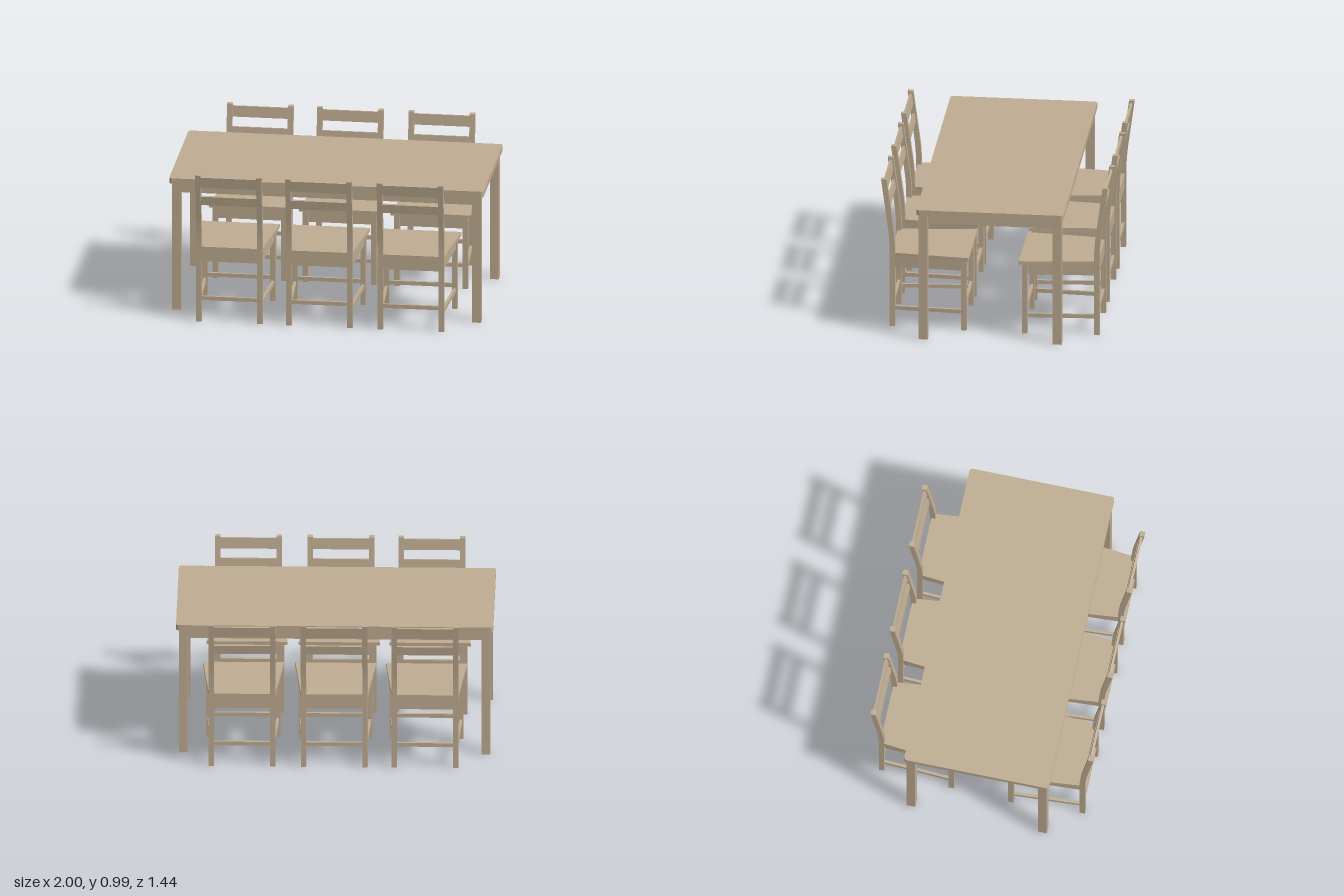
import * as THREE from 'three';

const wood = new THREE.MeshStandardMaterial({ color: 0xbfac92 });
wood.name = 'paleWood';

function add(parent, name, geometry) {
  const mesh = new THREE.Mesh(geometry, wood);
  mesh.name = name;
  parent.add(mesh);
  return mesh;
}

function box(parent, name, size, pos) {
  const mesh = add(parent, name, new THREE.BoxGeometry(...size));
  mesh.position.set(...pos);
  return mesh;
}

// Level rail between two points on the floor plan, centred at height y
function rail(parent, name, [x1, z1], [x2, z2], y, height, thick) {
  const length = Math.hypot(x2 - x1, z2 - z1);
  const mesh = box(parent, name, [thick, height, length], [(x1 + x2) / 2, y, (z1 + z2) / 2]);
  mesh.rotation.y = Math.atan2(x2 - x1, z2 - z1);
}

// Flat slab from a plan outline (x, z), from y0 to y1
function slab(shape, y0, y1) {
  const g = new THREE.ExtrudeGeometry(shape, { depth: y1 - y0, bevelEnabled: false, curveSegments: 5 });
  g.rotateX(Math.PI / 2);
  g.translate(0, y1, 0);
  return g;
}

// Backward lean of the chair back: curved at first, then straight
const lean = (y) => {
  const t = Math.max(0, y - 0.5);
  return t < 0.18 ? 0.375 * t * t : 0.01215 + 0.135 * (t - 0.18);
};

function createTable() {
  const table = new THREE.Group();
  table.name = 'table';
  const w = 1, d = 0.466, r = 0.02;
  const top = new THREE.Shape();
  top.absarc(w - r, d - r, r, 0, Math.PI / 2);
  top.absarc(-w + r, d - r, r, Math.PI / 2, Math.PI);
  top.absarc(-w + r, -d + r, r, Math.PI, Math.PI * 1.5);
  top.absarc(w - r, -d + r, r, Math.PI * 1.5, Math.PI * 2);
  add(table, 'tableTop', slab(top, 0.843, 0.879));
  for (const s of [-1, 1]) {
    for (const t of [-1, 1]) box(table, 'tableLeg', [0.055, 0.843, 0.057], [s * 0.954, 0.4215, t * 0.424]);
    box(table, 'tableLongApron', [1.853, 0.062, 0.02], [0, 0.812, s * 0.432]);
    box(table, 'tableEndApron', [0.02, 0.062, 0.791], [s * 0.962, 0.812, 0]);
  }
  table.position.z = 0.009;
  return table;
}

// Chair with its back towards +z
function createChair() {
  const chair = new THREE.Group();
  chair.name = 'chair';
  const backX = 0.194, frontX = 0.217, backZ = 0.649, frontZ = 0.194, leg = 0.034;

  // Rear legs run up into the curved back posts
  const profile = new THREE.Shape();
  const heights = [0, 0.5, 0.545, 0.59, 0.635, 0.68, 0.99];
  const z0 = backZ - leg / 2, z1 = backZ + leg / 2;
  heights.forEach((y, i) => profile[i ? 'lineTo' : 'moveTo'](z0 + lean(y), y));
  heights.reverse().forEach((y) => profile.lineTo(z1 + lean(y), y));
  profile.closePath();
  const post = new THREE.ExtrudeGeometry(profile, { depth: leg, bevelEnabled: false });
  post.translate(0, 0, -leg / 2);
  post.rotateY(-Math.PI / 2);

  for (const s of [-1, 1]) {
    add(chair, 'rearLegAndPost', post).position.x = s * backX;
    box(chair, 'frontLeg', [leg, 0.476, leg], [s * frontX, 0.238, frontZ]);
    const a = [s * backX, z0], b = [s * frontX, frontZ + leg / 2];
    rail(chair, 'sideApron', a, b, 0.438, 0.076, 0.018);
    rail(chair, 'sideStretcher', a, b, 0.122, 0.025, 0.018);
  }

  // Front and back rails
  const backSpan = 2 * backX - leg, frontSpan = 2 * frontX - leg;
  box(chair, 'backApron', [backSpan, 0.076, 0.018], [0, 0.438, backZ]);
  box(chair, 'frontApron', [frontSpan, 0.076, 0.018], [0, 0.438, frontZ]);
  box(chair, 'backStretcher', [backSpan, 0.025, 0.018], [0, 0.154, backZ]);
  box(chair, 'frontStretcher', [frontSpan, 0.025, 0.018], [0, 0.154, frontZ]);

  // Tapered seat, notched around the back posts
  const inner = backX - leg / 2;
  const seat = new THREE.Shape([
    [-0.256, 0.16], [0.256, 0.16], [0.211, z0], [inner, z0],
    [inner, 0.658], [-inner, 0.658], [-inner, z0], [-0.211, z0],
  ].map(([x, z]) => new THREE.Vector2(x, z)));
  add(chair, 'seat', slab(seat, 0.476, 0.497));

  // Back slats follow the lean of the posts
  for (const [y, h] of [[0.94, 0.07], [0.813, 0.058]]) {
    const slat = box(chair, 'backSlat', [backSpan, h, 0.016], [0, y, backZ + lean(y)]);
    slat.rotation.x = Math.atan(0.135);
  }
  return chair;
}

export function createModel() {
  const model = new THREE.Group();
  model.name = 'diningSet';
  model.add(createTable());
  for (const x of [-0.575, -0.002, 0.58]) {
    const front = createChair();
    front.position.set(x - 0.016, 0, 0.003);
    const rear = createChair();
    rear.rotation.y = Math.PI;
    rear.position.set(x, 0, 0.003);
    model.add(front, rear);
  }
  return model;
}
